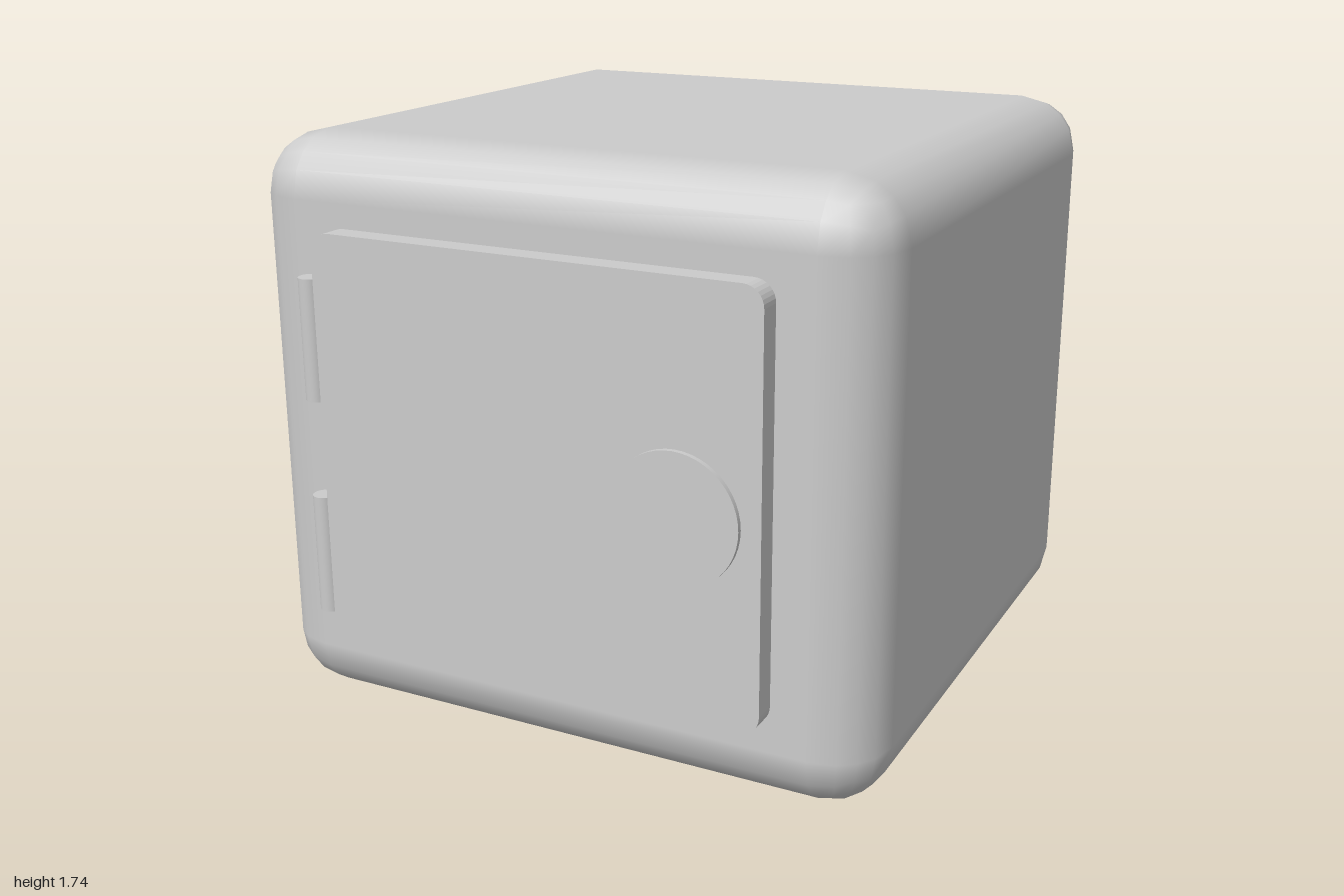
import * as THREE from 'three';
import { RoundedBoxGeometry } from 'three/addons/geometries/RoundedBoxGeometry.js';

const material = new THREE.MeshStandardMaterial({ color: 0xcccccc });

function addPart(group, name, geometry, x, y, z) {
  const mesh = new THREE.Mesh(geometry, material);
  mesh.name = name;
  mesh.position.set(x, y, z);
  group.add(mesh);
  return mesh;
}

// Rectangle centred on the origin with rounded corners
function roundedRect(w, h, r) {
  const s = new THREE.Shape();
  const x = w / 2 - r, y = h / 2 - r;
  s.absarc(x, y, r, 0, Math.PI / 2);
  s.absarc(-x, y, r, Math.PI / 2, Math.PI);
  s.absarc(-x, -y, r, Math.PI, Math.PI * 1.5);
  s.absarc(x, -y, r, Math.PI * 1.5, Math.PI * 2);
  s.closePath();
  return s;
}

export function createModel() {
  const group = new THREE.Group();
  group.name = 'safe';

  // Heavy rounded body
  addPart(group, 'body', new RoundedBoxGeometry(1.955, 1.74, 1.914, 2, 0.18), 0, 0.87, -0.043);

  // Door slab on the front, slightly sunk into the body
  const slab = new THREE.ExtrudeGeometry(roundedRect(1.385, 1.23, 0.06), {
    depth: 0.085, bevelEnabled: false, curveSegments: 4,
  });
  addPart(group, 'door', slab, 0, 0.875, 0.9);

  // Round dial
  const dial = new THREE.CylinderGeometry(0.19, 0.19, 0.03, 48).rotateX(Math.PI / 2);
  addPart(group, 'dial', dial, 0.445, 0.84, 0.985);

  // Two hinge barrels along the door edge
  for (const [name, y] of [['upperHinge', 1.167], ['lowerHinge', 0.51]]) {
    addPart(group, name, new THREE.CylinderGeometry(0.036, 0.036, 0.363, 24), -0.733, y, 0.943);
  }
  return group;
}
